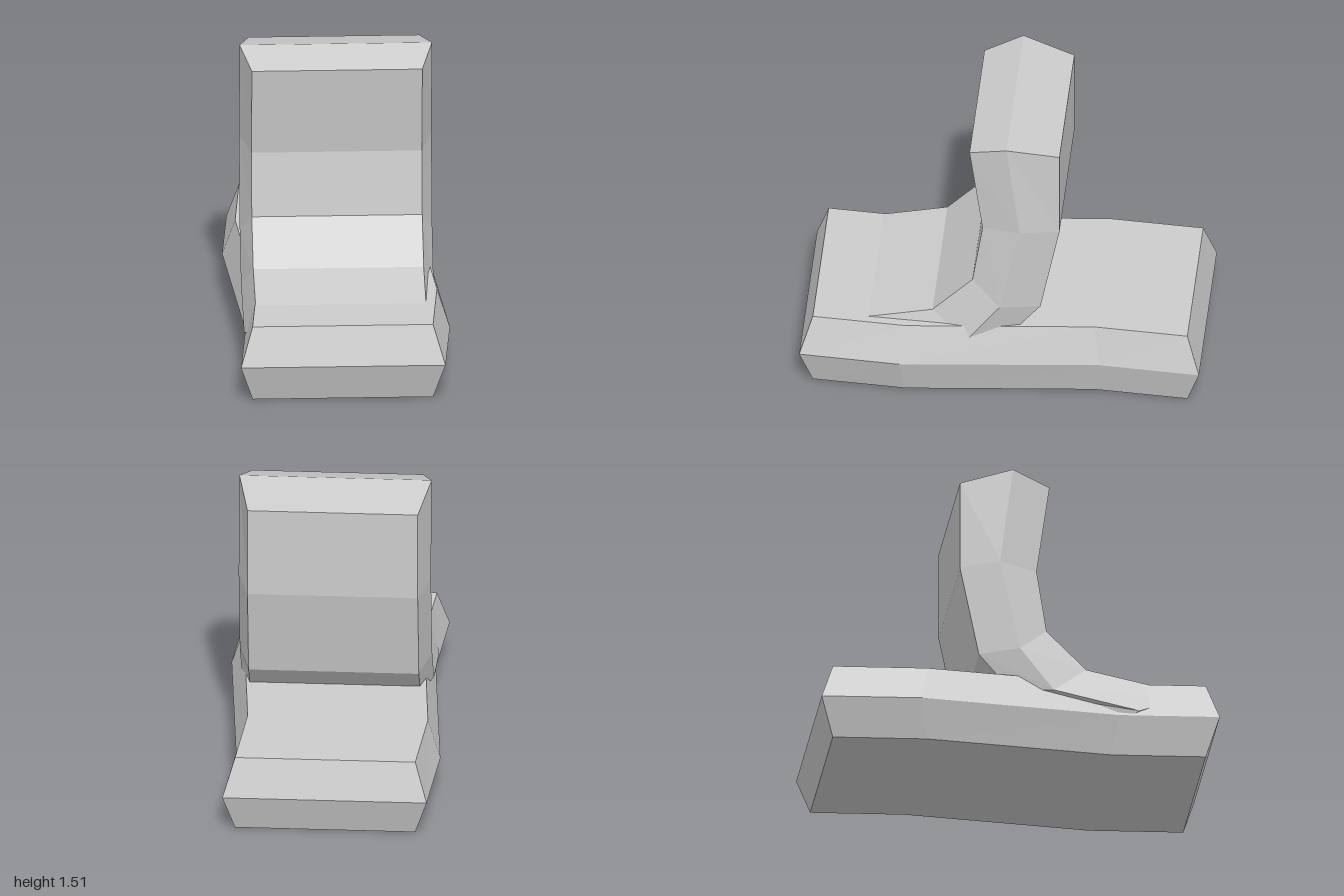
import * as THREE from 'three';

// A ring is three left-right rows: face A, the side ridge and face B.
// Each row is [centreX, halfWidth, y, z]; it yields six corners.
function ring(rowA, ridge, rowB) {
  const end = ([cx, w, y, z], side) => [cx + side * w, y, z];
  return [end(rowA, -1), end(rowA, 1), end(ridge, 1), end(rowB, 1), end(rowB, -1), end(ridge, -1)];
}

// Joins the rings into a closed faceted body
function loft(name, rings) {
  const positions = [];
  const quad = (a, b, c, d) => positions.push(...a, ...b, ...c, ...a, ...c, ...d);
  for (let i = 0; i < rings.length - 1; i++) {
    const p = rings[i], q = rings[i + 1];
    for (let j = 0; j < 6; j++) {
      const k = (j + 1) % 6;
      quad(p[j], q[j], q[k], p[k]);
    }
  }
  // Each end is two faces folded along the ridge row
  const first = rings[0], last = rings[rings.length - 1];
  quad(first[0], first[1], first[2], first[5]);
  quad(first[5], first[2], first[3], first[4]);
  quad(last[0], last[5], last[2], last[1]);
  quad(last[5], last[4], last[3], last[2]);

  const geometry = new THREE.BufferGeometry();
  geometry.setAttribute('position', new THREE.Float32BufferAttribute(positions, 3));
  geometry.computeVertexNormals();
  const mesh = new THREE.Mesh(
    geometry,
    new THREE.MeshStandardMaterial({ color: 0xcccccc, flatShading: true })
  );
  mesh.name = name;
  return mesh;
}

export function createModel() {
  const group = new THREE.Group();
  group.name = 'bracket';

  // Base slab: bevelled all round, with a gentle S bend seen from above
  const stations = [[-1, 0], [-0.5, -0.04], [0.5, 0.04], [1, 0]];
  group.add(loft('base', stations.map(([z, bend]) => ring(
    [bend * 0.9, 0.45, 0.39, z * 0.937],
    [bend, 0.51, 0.195, z],
    [bend * 0.9, 0.45, 0, z * 0.937]
  ))));

  // Upright: from the top down, curling forward into the base.
  // Each entry: front [z, y], side ridge [z, y], back [z, y]
  const profile = [
    [[0.155, 1.445], [-0.035, 1.51], [-0.295, 1.445]],
    [[0.09, 0.98], [-0.1, 1.0], [-0.295, 0.98]],
    [[0.14, 0.655], [0, 0.53], [-0.2, 0.51]],
    [[0.34, 0.455], [0.17, 0.31], [-0.04, 0.32]],
    [[0.88, 0.345], [0.6, 0.22], [0.4, 0.1]]
  ];
  group.add(loft('upright', profile.map(([front, ridge, back]) => ring(
    [0, 0.425, front[1], front[0]],
    [0, 0.48, ridge[1], ridge[0]],
    [0, 0.425, back[1], back[0]]
  ))));

  return group;
}
